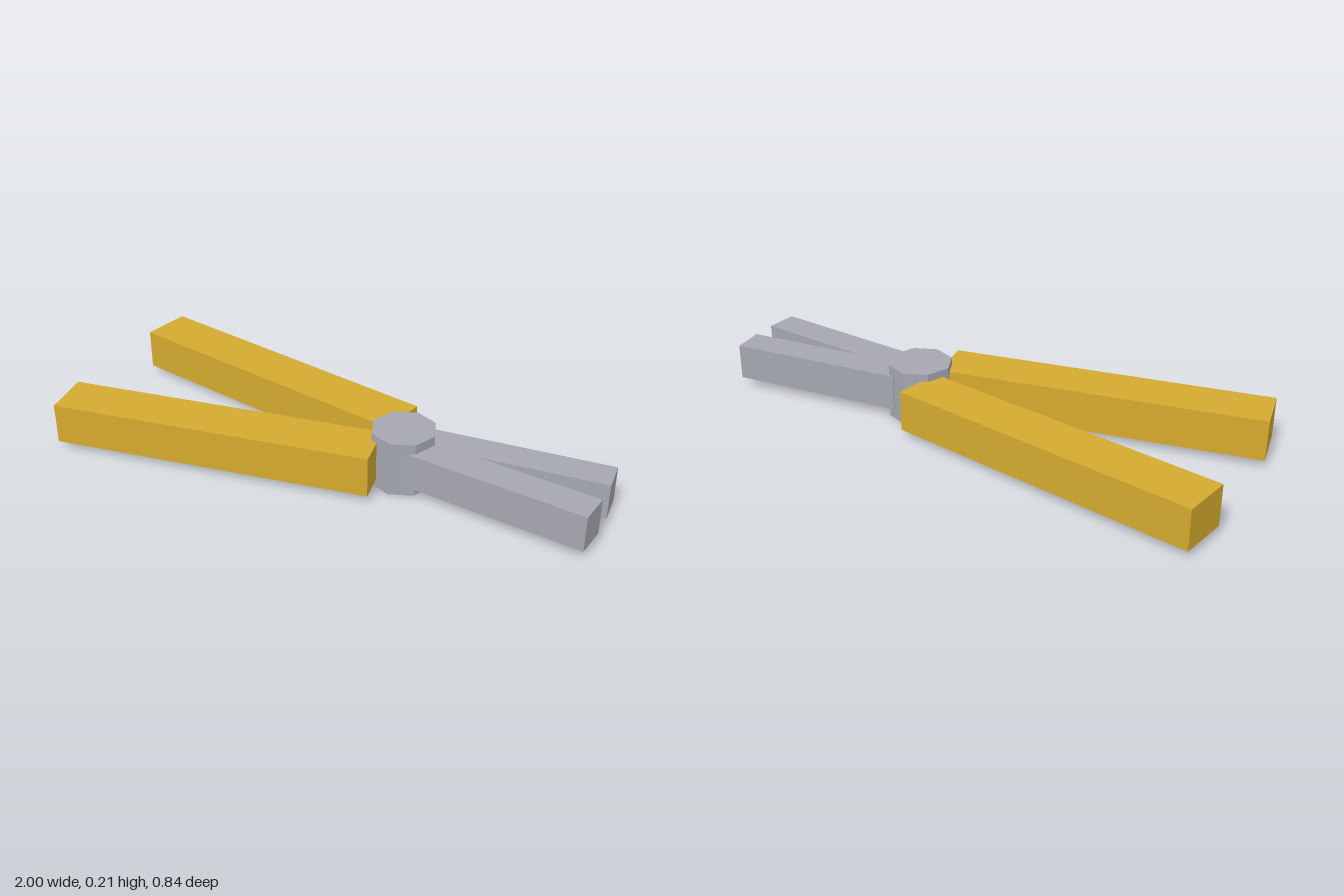
import * as THREE from 'three';

export function createModel() {
  const model = new THREE.Group();
  const steel = new THREE.MeshStandardMaterial({ color: 0xa5a7b0, flatShading: true });
  const grip = new THREE.MeshStandardMaterial({ color: 0xd4aa2f, flatShading: true });

  const add = (name, geometry, material, x, y, z, turn = 0) => {
    const mesh = new THREE.Mesh(geometry, material);
    mesh.name = name;
    mesh.position.set(x, y, z);
    mesh.rotation.y = turn;
    model.add(mesh);
  };

  const midY = 0.105;

  // Octagonal pivot joining both halves
  add('pivot', new THREE.CylinderGeometry(0.12, 0.12, 0.21, 8), steel, 0.26, midY, 0);

  // Mirrored handles and jaws, splayed away from the pivot
  const handle = new THREE.BoxGeometry(1.204, 0.154, 0.188);
  const jaw = new THREE.BoxGeometry(0.672, 0.136, 0.12);
  for (const [side, s] of [['front', 1], ['back', -1]]) {
    add(side + 'Handle', handle, grip, -0.39, midY, s * 0.218, s * 0.18);
    add(side + 'Jaw', jaw, steel, 0.66, midY, s * 0.072, -s * 0.1);
  }

  return model;
}
